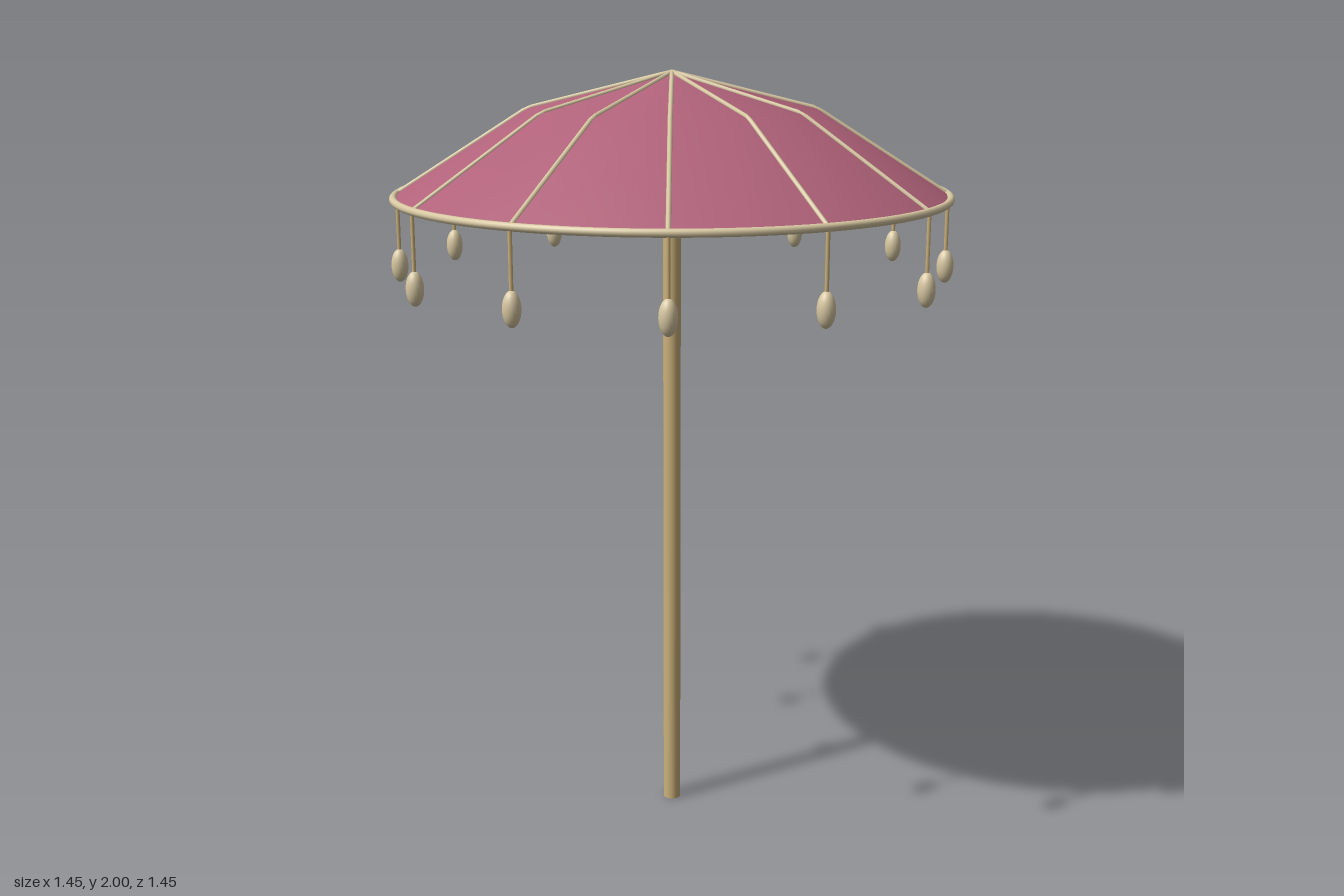
import * as THREE from 'three';

const COUNT = 12;          // ribs and tassels
const RIM_R = 0.705, RIM_Y = 1.69;

const material = (color, side = THREE.FrontSide) => new THREE.MeshStandardMaterial({ color, side });

function addMesh(parent, name, geometry, mat, x = 0, y = 0, z = 0) {
  const mesh = new THREE.Mesh(geometry, mat);
  mesh.name = name;
  mesh.position.set(x, y, z);
  parent.add(mesh);
  return mesh;
}

export function createModel() {
  const model = new THREE.Group();
  model.name = 'parasol';
  const cloth = material(0xb0627a, THREE.DoubleSide);
  const wood = material(0xcbb07a);
  const cream = material(0xd8c8a2);

  // Pole from the ground to just under the apex
  addMesh(model, 'pole', new THREE.CylinderGeometry(0.023, 0.023, 1.975, 24), wood, 0, 0.9875, 0);

  // Cloth canopy: shallow crown, then a steeper skirt
  const apex = new THREE.Vector2(0, 1.994);
  const knee = new THREE.Vector2(0.365, 1.905);
  const edge = new THREE.Vector2(RIM_R, RIM_Y);
  addMesh(model, 'canopy', new THREE.LatheGeometry([edge, knee, apex], 96), cloth);

  // Rim hoop
  const hoop = addMesh(model, 'rimHoop', new THREE.TorusGeometry(RIM_R, 0.01, 10, 96), cream, 0, RIM_Y, 0);
  hoop.rotation.x = Math.PI / 2;

  // Bent rib lying along the canopy, in two straight runs
  const ribPath = new THREE.CurvePath();
  const points = [apex, knee, edge].map((p) => new THREE.Vector3(p.x, p.y + 0.001, 0));
  ribPath.add(new THREE.LineCurve3(points[0], points[1]));
  ribPath.add(new THREE.LineCurve3(points[1], points[2]));
  const ribGeometry = new THREE.TubeGeometry(ribPath, 32, 0.006, 8);

  // Hanging tassel: cord and oval bead
  const cordGeometry = new THREE.CylinderGeometry(0.005, 0.005, 0.16, 8);
  const beadGeometry = new THREE.SphereGeometry(0.022, 20, 14).scale(1, 1.95, 1);

  for (let i = 0; i < COUNT; i++) {
    const spoke = new THREE.Group();
    spoke.name = `spoke${i + 1}`;
    spoke.rotation.y = (i / COUNT) * Math.PI * 2;
    addMesh(spoke, 'rib', ribGeometry, cream);
    addMesh(spoke, 'tasselCord', cordGeometry, wood, RIM_R, RIM_Y - 0.08, 0);
    addMesh(spoke, 'tasselBead', beadGeometry, cream, RIM_R, 1.505, 0);
    model.add(spoke);
  }
  return model;
}
